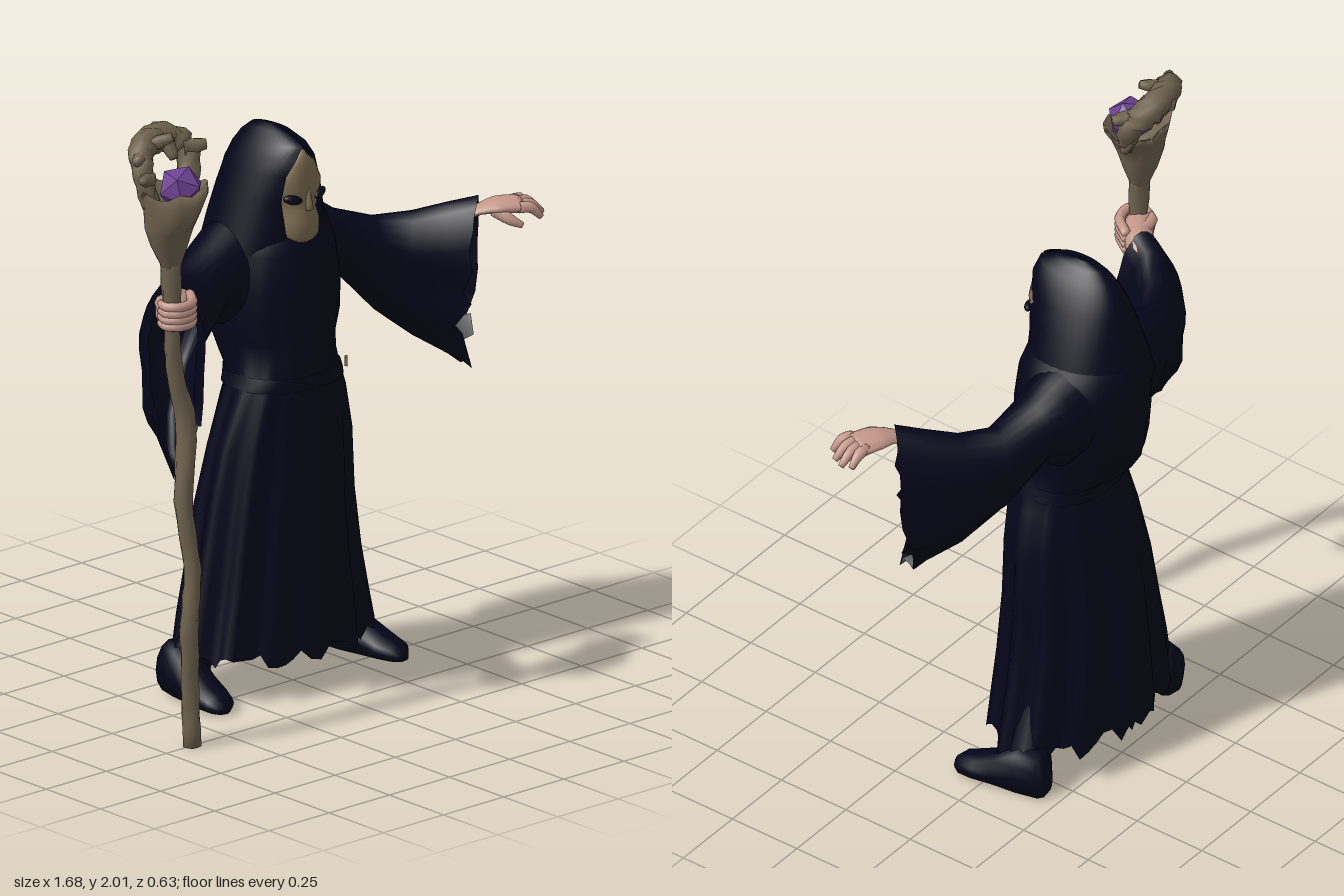
import * as THREE from 'three';

const mat = (name, color, double = true) => {
  const m = new THREE.MeshStandardMaterial({ color, side: double ? THREE.DoubleSide : THREE.FrontSide });
  m.name = name;
  return m;
};
const V = (x, y, z) => new THREE.Vector3(x, y, z);

// Small seeded noise in -1..1
const noise = (i) => { const s = Math.sin(i * 127.1 + 3.7) * 43758.5453; return (s - Math.floor(s)) * 2 - 1; };

// Skin a list of rings (arrays of points); wrap closes each ring, caps fill the ends
function loft(rings, { wrap = true, capStart = false, capEnd = false } = {}) {
  const n = rings[0].length, pos = [], idx = [];
  rings.forEach((r) => r.forEach((p) => pos.push(p.x, p.y, p.z)));
  for (let i = 0; i < rings.length - 1; i++) {
    for (let j = 0; j < (wrap ? n : n - 1); j++) {
      const k = (j + 1) % n, a = i * n + j, b = i * n + k, c = b + n, d = a + n;
      idx.push(a, b, c, a, c, d);
    }
  }
  const cap = (ring, base, flip) => {
    const c = ring.reduce((s, p) => s.add(p), V(0, 0, 0)).divideScalar(n);
    const ci = pos.length / 3;
    pos.push(c.x, c.y, c.z);
    for (let j = 0; j < n; j++) {
      const a = base + j, b = base + (j + 1) % n;
      idx.push(...(flip ? [b, a, ci] : [a, b, ci]));
    }
  };
  if (capStart) cap(rings[0], 0, true);
  if (capEnd) cap(rings[rings.length - 1], (rings.length - 1) * n, false);
  const g = new THREE.BufferGeometry();
  g.setAttribute('position', new THREE.Float32BufferAttribute(pos, 3));
  g.setIndex(idx);
  g.computeVertexNormals();
  return g;
}

// Horizontal oval ring from [y, centreX, halfWidth, frontZ, backZ]; back sets the roundness behind
function oval([y, cx, rx, zf, zb], n, { pleat = 0, gap = 0, ragged = 0, power = 0.85, back = power } = {}) {
  const out = [], cz = (zf + zb) / 2, rz = (zf - zb) / 2;
  for (let j = 0; j < n; j++) {
    const t = gap ? gap + (2 * Math.PI - 2 * gap) * j / (n - 1) : 2 * Math.PI * j / n;
    const k = 1 + pleat * (Math.cos(13 * t + 0.8 * Math.sin(2 * t)) - 0.4);
    const s = Math.sin(t), c = Math.cos(t), q = c < 0 ? back : power;
    const e = (v) => Math.sign(v) * Math.abs(v) ** q;
    out.push(V(cx + rx * k * e(s), y + ragged * noise(j), cz + rz * k * e(c)));
  }
  return out;
}

// Tapered tube through points with one radius per point; lumps makes it gnarled
function limb(points, radii, { n = 10, steps = 4, lumps = 0, flat = 1 } = {}) {
  const curve = new THREE.CatmullRomCurve3(points), m = (points.length - 1) * steps, rings = [];
  for (let i = 0; i <= m; i++) {
    const f = i / steps, k = Math.min(Math.floor(f), points.length - 2);
    const r = THREE.MathUtils.lerp(radii[k], radii[k + 1], f - k);
    const p = curve.getPoint(i / m), t = curve.getTangent(i / m);
    const ref = Math.abs(t.y) > 0.8 ? V(0, 0, 1) : V(0, 1, 0);
    const v = t.clone().cross(ref).normalize(), u = v.clone().cross(t);
    rings.push(Array.from({ length: n }, (_, j) => {
      const a = 2 * Math.PI * j / n, q = r * (1 + lumps * noise(i * n + j));
      return p.clone().addScaledVector(u, q * flat * Math.cos(a)).addScaledVector(v, q * Math.sin(a));
    }));
  }
  return loft(rings, { capStart: true, capEnd: true });
}

export function createModel() {
  const root = new THREE.Group();
  const cloth = mat('dark navy cloth', 0x040419), wood = mat('weathered wood', 0x6f634f);
  const skin = mat('pale skin', 0xc4988a), bone = mat('bone mask', 0x7d6d51);
  const gem = mat('purple crystal', 0x6c4192, false);
  const add = (name, geometry, material, parent = root) => {
    const m = new THREE.Mesh(geometry, material);
    m.name = name;
    parent.add(m);
    return m;
  };

  // Robe: pleated skirt with a ragged hem, waist and rounded back
  const robe = [
    [0.13, -0.015, 0.37, 0.142, -0.305, 0.05], [0.25, -0.015, 0.345, 0.138, -0.305, 0.05],
    [0.4, -0.02, 0.312, 0.138, -0.295, 0.045], [0.6, -0.02, 0.278, 0.135, -0.28, 0.04],
    [0.8, -0.01, 0.252, 0.13, -0.243, 0.03], [0.95, -0.01, 0.207, 0.122, -0.2, 0.02],
    [1.02, -0.012, 0.182, 0.118, -0.185, 0.01], [1.08, -0.012, 0.172, 0.12, -0.255, 0.01],
    [1.13, -0.01, 0.18, 0.12, -0.285, 0.015], [1.2, -0.005, 0.2, 0.12, -0.297, 0.015],
    [1.3, 0, 0.205, 0.115, -0.308, 0.01], [1.42, 0, 0.195, 0.1, -0.312, 0],
    [1.5, 0, 0.175, 0.07, -0.3, 0], [1.57, -0.01, 0.11, 0.02, -0.25, 0],
  ].map((r, i) => oval(r, 72, {
    pleat: r[5], ragged: i ? 0 : 0.03, power: i > 7 ? 0.95 : i > 4 ? 0.87 : 0.98, back: i > 4 ? 0.95 : 1.12,
  }));
  add('robe', loft(robe, { capEnd: true }), cloth);
  add('belt', loft([[0.99, -0.012, 0.196, 0.124, -0.195], [1.01, -0.012, 0.19, 0.127, -0.195],
    [1.035, -0.012, 0.183, 0.124, -0.2]].map((r) => oval(r, 40))), cloth);
  const buckle = add('buckle', new THREE.BoxGeometry(0.02, 0.03, 0.009), bone);
  buckle.position.set(0.148, 1.03, 0.082);
  buckle.rotation.y = 0.8;

  // Hood: peaked shell with an open front
  const hood = [
    [1.42, -0.01, 0.2, 0.07, -0.312, 0.3], [1.5, -0.012, 0.175, 0.078, -0.298, 0.42],
    [1.6, -0.017, 0.142, 0.088, -0.272, 0.6], [1.68, -0.022, 0.11, 0.098, -0.248, 0.62],
    [1.73, -0.025, 0.087, 0.1, -0.222, 0.45], [1.77, -0.028, 0.062, 0.08, -0.19, 0.05],
    [1.8, -0.03, 0.035, 0.02, -0.15, 0.02], [1.813, -0.03, 0.006, -0.06, -0.09, 0.01],
  ].map((r) => oval(r, 36, { gap: r[5], power: 0.95 }));
  add('hood', loft(hood, { wrap: false }), cloth);

  // Gaunt mask-like face
  const face = new THREE.Group();
  face.name = 'face';
  root.add(face);
  add('mask', loft([
    [1.458, -0.015, 0.055, 0.085, -0.06], [1.48, -0.015, 0.07, 0.1, -0.06], [1.53, -0.015, 0.07, 0.1, -0.06],
    [1.565, -0.015, 0.06, 0.092, -0.06], [1.6, -0.015, 0.08, 0.09, -0.06], [1.65, -0.016, 0.088, 0.094, -0.06],
    [1.71, -0.02, 0.064, 0.09, -0.06], [1.755, -0.025, 0.016, 0.08, -0.05],
  ].map((r) => oval(r, 24)), { capStart: true, capEnd: true }), bone, face);
  add('nose', limb([V(-0.015, 1.63, 0.084), V(-0.015, 1.565, 0.094)], [0.008, 0.013], { n: 8 }), bone, face);
  for (const s of [-1, 1]) {
    const eye = add('eyeSocket', new THREE.SphereGeometry(1, 14, 8), cloth, face);
    eye.scale.set(0.032, 0.015, 0.014);
    eye.position.set(-0.015 + s * 0.056, 1.605, 0.079);
    eye.rotation.set(0, s * 0.4, s * 0.2);
  }

  // Wide hanging sleeves, each section: [x, z, top, bottom, half thickness]
  const sleeve = (s, drop, reach) => {
    const rows = [
      [0.08, -0.13, 1.54, 1.2, 0.14], [0.2, -0.12, 1.5, 1.18, 0.12], [0.27, -0.105, 1.45, 1.245, 0.105],
      [0.4, -0.07, 1.405, 1.1, 0.098], [0.5, -0.005, 1.415, 1.01, 0.098], [0.58, 0.07, 1.445, 0.95, 0.1],
      [reach, 0.14, 1.47, 0.93, 0.1],
    ];
    const n = 28;
    return loft(rows.map(([x, z, top, bot, w], i) => {
      const a = rows[Math.max(i - 1, 0)], b = rows[Math.min(i + 1, rows.length - 1)];
      const t = V(s * (b[0] - a[0]), 0, b[1] - a[1]).normalize(), v = t.clone().cross(V(0, 1, 0));
      const low = bot - drop * Math.max(0, i - 3) / 3, end = i === rows.length - 1;
      return Array.from({ length: n }, (_, j) => {
        const q = 2 * Math.PI * j / n, c = Math.cos(q), h = (top - low) / 2, down = (1 - c) / 2;
        const fold = 1 + (i > 2 ? (0.16 * Math.cos(6 * q) - 0.4 * down) * down : 0);
        const rag = end ? down : 0;
        return V(s * (x - 0.035 * rag), top - h + h * c + rag * 0.05 * noise(j + 9), z - 0.03 * rag)
          .addScaledVector(v, w * fold * Math.sin(q)).addScaledVector(t, rag * 0.035 * noise(j + 40));
      });
    }));
  };
  add('leftSleeve', sleeve(1, 0, 0.645), cloth);
  add('rightSleeve', sleeve(-1, 0.09, 0.61), cloth);

  // Left hand stretched out, palm down
  const hand = new THREE.Group();
  hand.name = 'leftHand';
  root.add(hand);
  add('palm', limb([V(0.6, 1.4, 0.11), V(0.64, 1.428, 0.15), V(0.69, 1.438, 0.178), V(0.755, 1.435, 0.208)],
    [0.03, 0.036, 0.055, 0.058], { flat: 0.42 }), skin, hand);
  [[0.825, 0.172], [0.835, 0.205], [0.82, 0.24], [0.785, 0.275]].forEach(([x, z], i) => {
    const base = V(0.75 - i * 0.008, 1.437, 0.17 + i * 0.024);
    add('finger', limb([base, V((base.x + x) / 2, 1.435, (base.z + z) / 2), V(x, 1.402, z)],
      [0.019, 0.018, 0.01], { n: 8, steps: 3 }), skin, hand);
  });
  add('thumb', limb([V(0.67, 1.43, 0.19), V(0.69, 1.405, 0.235), V(0.72, 1.385, 0.262)], [0.024, 0.019, 0.01], { n: 8 }), skin, hand);

  // Right hand gripping the staff
  const fist = new THREE.Group();
  fist.name = 'rightHand';
  root.add(fist);
  add('wrist', limb([V(-0.57, 1.385, 0.09), V(-0.605, 1.415, 0.14), V(-0.66, 1.418, 0.19), V(-0.71, 1.418, 0.215)],
    [0.035, 0.045, 0.05, 0.046]), skin, fist);
  for (let i = 0; i < 4; i++) {
    const y = 1.386 + i * 0.021;
    add('finger', limb([V(-0.595, y, 0.185), V(-0.645, y, 0.25), V(-0.7, y, 0.262), V(-0.732, y, 0.232), V(-0.722, y, 0.19)],
      [0.016, 0.017, 0.016, 0.015, 0.012], { n: 8, steps: 3 }), skin, fist);
  }
  add('thumb', limb([V(-0.63, 1.44, 0.165), V(-0.7, 1.445, 0.168), V(-0.732, 1.44, 0.2)], [0.022, 0.018, 0.012], { n: 8 }), skin, fist);

  // Gnarled staff
  const staff = new THREE.Group();
  staff.name = 'staff';
  root.add(staff);
  add('shaft', limb([
    V(-0.645, 0, 0.25), V(-0.652, 0.2, 0.25), V(-0.667, 0.4, 0.265), V(-0.652, 0.58, 0.26), V(-0.67, 0.8, 0.24),
    V(-0.643, 1.05, 0.222), V(-0.68, 1.2, 0.215), V(-0.7, 1.4, 0.22), V(-0.705, 1.62, 0.22),
  ], [0.03, 0.027, 0.03, 0.027, 0.029, 0.034, 0.028, 0.026, 0.036], { lumps: 0.1 }), wood, staff);
  const cup = [[1.57, -0.705, 0.03, 0.25, 0.19], [1.64, -0.708, 0.062, 0.268, 0.165], [1.7, -0.712, 0.08, 0.29, 0.15],
    [1.75, -0.708, 0.088, 0.318, 0.14], [1.8, -0.695, 0.115, 0.318, 0.125], [1.83, -0.69, 0.122, 0.3, 0.12],
    [1.78, -0.685, 0.085, 0.28, 0.155], [1.75, -0.685, 0.02, 0.23, 0.19]]
    .map((r, i) => oval(r, 18, { ragged: i > 2 && i < 6 ? 0.018 : 0.006, power: 0.95 }));
  add('staffCup', loft(cup, { capEnd: true }), wood, staff);
  // Knotted arch over the crystal, with struts and thorns
  add('staffArch', limb([V(-0.77, 1.78, 0.2), V(-0.79, 1.87, 0.19), V(-0.765, 1.94, 0.15), V(-0.69, 1.957, 0.115),
    V(-0.62, 1.95, 0.11), V(-0.575, 1.91, 0.14), V(-0.59, 1.83, 0.18), V(-0.62, 1.77, 0.2)],
  [0.03, 0.03, 0.04, 0.045, 0.045, 0.042, 0.032, 0.03], { lumps: 0.16 }), wood, staff);
  [[V(-0.78, 1.87, 0.2), V(-0.83, 1.885, 0.23), 0.03], [V(-0.59, 1.92, 0.15), V(-0.53, 1.925, 0.19), 0.034],
    [V(-0.73, 1.955, 0.14), V(-0.67, 1.98, 0.19), 0.03], [V(-0.65, 1.95, 0.14), V(-0.65, 1.9, 0.175), 0.028],
    [V(-0.67, 1.95, 0.11), V(-0.69, 1.945, 0.068), 0.035], [V(-0.77, 1.94, 0.16), V(-0.82, 1.93, 0.19), 0.03],
    [V(-0.6, 1.84, 0.17), V(-0.575, 1.78, 0.18), 0.028]]
    .forEach(([a, b, r]) => add('thorn', limb([a, b], [r, r * 0.5], { n: 8, lumps: 0.1 }), wood, staff));
  const crystal = add('crystal', new THREE.IcosahedronGeometry(0.074, 0), gem, staff);
  crystal.position.set(-0.675, 1.825, 0.232);
  crystal.rotation.set(0.3, 0.4, 0.2);

  // Legs and turned-out boots
  for (const s of [-1, 1]) {
    const leg = new THREE.Group();
    leg.name = s > 0 ? 'leftLeg' : 'rightLeg';
    leg.position.x = s < 0 ? -0.02 : 0;
    root.add(leg);
    add('shin', limb([V(s * 0.14, 0.5, -0.08), V(s * 0.24, 0.25, -0.1), V(s * 0.325, 0.06, -0.12)], [0.07, 0.068, 0.068]), cloth, leg);
    const boot = add('boot', loft([[-0.09, 0.035, 0.07], [-0.075, 0.06, 0.15], [0, 0.07, 0.15], [0.08, 0.064, 0.1],
      [0.15, 0.062, 0.07], [0.2, 0.05, 0.055], [0.225, 0.02, 0.035]].map(([z, w, h]) =>
      Array.from({ length: 14 }, (_, j) => {
        const a = 2 * Math.PI * j / 14;
        return V(w * Math.cos(a), Math.max(0.005, h / 2 + h * 0.62 * Math.sin(a)), z);
      })), { capStart: true, capEnd: true }), cloth, leg);
    boot.position.set(s * 0.328, 0, -0.11);
    boot.rotation.y = s * 0.16;
  }
  return root;
}
